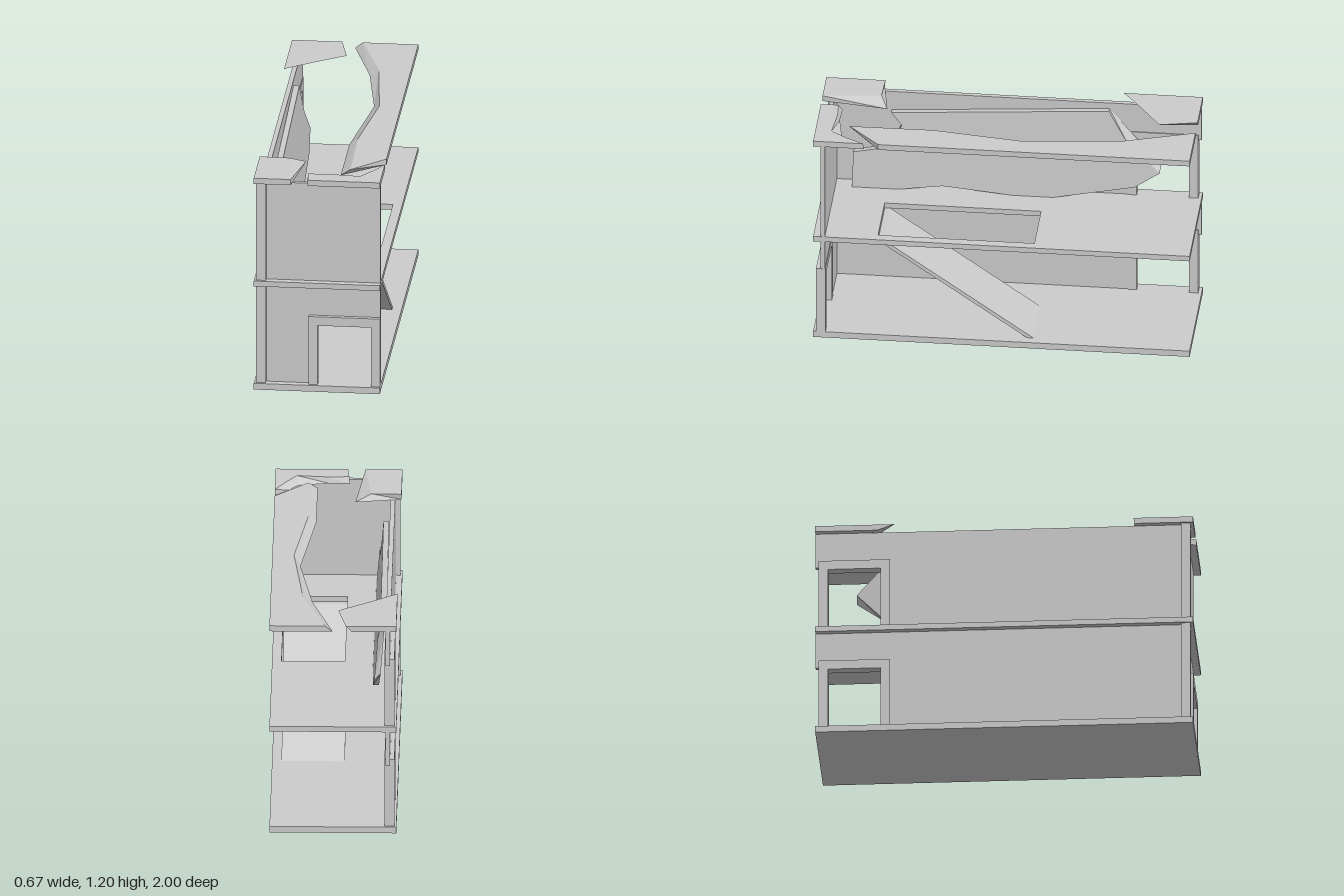
import * as THREE from 'three';

const material = new THREE.MeshStandardMaterial({ color: 0xcccccc, flatShading: true });

// Joins two outlines with equal point counts; each map turns a 2D point into 3D.
function loft(a, b, mapA, mapB) {
  const v2 = (p) => new THREE.Vector2(p[0], p[1]);
  let A = a.map(v2), B = b.map(v2);
  if (THREE.ShapeUtils.area(A) < 0) { A = A.reverse(); B = B.reverse(); }
  const a3 = A.map((p) => mapA(p.x, p.y)), b3 = B.map((p) => mapB(p.x, p.y));
  let tris = [];
  for (const [i, j, k] of THREE.ShapeUtils.triangulateShape(A, [])) tris.push([a3[i], a3[j], a3[k]]);
  for (const [i, j, k] of THREE.ShapeUtils.triangulateShape(B, [])) tris.push([b3[i], b3[k], b3[j]]);
  a3.forEach((p, i) => {
    const j = (i + 1) % a3.length;
    tris.push([b3[i], b3[j], a3[j]], [b3[i], a3[j], p]);
  });
  // Turn the solid outward if the mapping mirrored it
  const volume = tris.reduce((s, [p, q, r]) => s + p.dot(q.clone().cross(r)), 0);
  if (volume < 0) tris = tris.map(([p, q, r]) => [p, r, q]);
  const geometry = new THREE.BufferGeometry().setFromPoints(tris.flat());
  geometry.computeVertexNormals();
  return geometry;
}

const atX = (x) => (z, y) => new THREE.Vector3(x, y, z);
const atY = (y) => (x, z) => new THREE.Vector3(x, y, z);
const atZ = (z) => (x, y) => new THREE.Vector3(x, y, z);

function add(parent, name, geometry) {
  const mesh = new THREE.Mesh(geometry, material);
  mesh.name = name;
  parent.add(mesh);
  return mesh;
}

function box(parent, name, [x0, x1], [y0, y1], [z0, z1]) {
  const geometry = new THREE.BoxGeometry(x1 - x0, y1 - y0, z1 - z0);
  geometry.translate((x0 + x1) / 2, (y0 + y1) / 2, (z0 + z1) / 2);
  return add(parent, name, geometry);
}

// Upside-down U outline of a door frame
const doorOutline = (o0, o1, i0, i1, y) => [
  [o0, y], [i0, y], [i0, y + 0.335], [i1, y + 0.335], [i1, y],
  [o1, y], [o1, y + 0.385], [o0, y + 0.385],
];

// Wall outline with the lower end cut away for a doorway
const wallOutline = (start, cut, end, y, top) => [
  [start, y], [cut, y], [cut, y + 0.355], [end, y + 0.355], [end, top], [start, top],
];

export function createModel() {
  const model = new THREE.Group();
  model.name = 'ruinedHouse';
  const W = 0.335;

  // Floors, the upper one with an opening for the ramp
  box(model, 'groundFloor', [-W, W], [0, 0.035], [-1, 1]);
  const floor = new THREE.Shape([[-W, -1], [W, -1], [W, 1], [-W, 1]].map((p) => new THREE.Vector2(...p)));
  floor.holes.push(new THREE.Path([[-0.05, -0.17], [-0.05, 0.66], [0.285, 0.66], [0.285, -0.17]].map((p) => new THREE.Vector2(...p))));
  const floorGeometry = new THREE.ExtrudeGeometry(floor, { depth: 0.03, bevelEnabled: false });
  floorGeometry.rotateX(Math.PI / 2).translate(0, 0.616, 0);
  add(model, 'upperFloor', floorGeometry);

  // Each storey: side wall with doorway, frame, corner post
  for (const [storey, y, top] of [['lower', 0.035, 0.586], ['upper', 0.616, 1.168]]) {
    const side = wallOutline(0.95, -0.62, -1, y, top);
    add(model, storey + 'SideWall', loft(side, side, atX(-0.277), atX(-0.302)));
    const frame = doorOutline(-0.605, -0.982, -0.655, -0.932, y);
    add(model, storey + 'SideDoorFrame', loft(frame, frame, atX(-0.272), atX(-0.325)));
    box(model, storey + 'CornerPost', [-0.325, -0.272], [y, top], [0.935, 0.985]);
  }

  // Front walls: doorway below, closed above
  const front = wallOutline(-0.28, -0.02, W - 0.001, 0.035, 0.586);
  add(model, 'lowerFrontWall', loft(front, front, atZ(0.962), atZ(0.938)));
  const frontFrame = doorOutline(-0.045, W, 0.003, 0.287, 0.035);
  add(model, 'frontDoorFrame', loft(frontFrame, frontFrame, atZ(0.985), atZ(0.935)));
  box(model, 'upperFrontWall', [-0.28, W - 0.001], [0.616, 1.168], [0.938, 0.962]);

  // Ramp between the floors
  const ramp = [[0.665, 0.586], [0.63, 0.586], [-0.165, 0.035], [-0.13, 0.035]];
  add(model, 'ramp', loft(ramp, ramp, atX(-0.05), atX(0.285)));

  // Broken roof pieces: top outline, then bottom outline, as [x, z]
  const roof = new THREE.Group();
  roof.name = 'brokenRoof';
  model.add(roof);
  const shard = (name, top, bottom) => add(roof, name, loft(top, bottom, atY(1.2), atY(1.168)));
  shard('longRoofPiece',
    [[W, -1], [0.04, -1], [0.165, -0.62], [0.22, -0.1], [0.155, 0.38], [0.16, 0.825], [W, 0.655]],
    [[W, -1], [0, -1], [0.115, -0.62], [0.185, -0.17], [0.11, 0.39], [0.11, 0.83], [W, 0.655]]);
  shard('backRoofPiece',
    [[-W, -1], [-0.068, -1], [-0.025, -0.8], [-0.2, -0.68], [-W, -0.58]],
    [[-W, -1], [-0.1, -1], [-0.12, -0.88], [-0.22, -0.79], [-W, -0.67]]);
  shard('cornerRoofPiece',
    [[-W, 1], [-0.14, 1], [-0.175, 0.69], [-W, 0.685]],
    [[-W, 1], [-0.14, 1], [-0.092, 0.65], [-W, 0.69]]);
  shard('frontRoofPiece',
    [[W, 1], [-0.048, 1], [-0.055, 0.905], [0.06, 0.9], [0.22, 0.915], [0.28, 0.83], [W, 0.735]],
    [[W, 1], [-0.048, 1], [-0.06, 0.885], [0.05, 0.888], [0.215, 0.86], [0.26, 0.8], [W, 0.73]]);

  // Fallen roof slab leaning on the side wall, outlines as [z, y]
  const lean = (x) => (z, y) => new THREE.Vector3(x - (y - 0.616) * 0.09, y, z);
  const face = [
    [0.85, 0.616], [0.845, 0.82], [0.64, 0.86], [0.59, 0.99], [0.645, 1.06], [-0.51, 1.135],
    [-0.615, 0.945], [-0.785, 0.79], [-0.65, 0.7], [-0.22, 0.616], [0, 0.616], [0.37, 0.648], [0.6, 0.616],
  ];
  const back = face.map((p) => [...p]);
  back[6] = [-0.63, 1.0];
  back[7] = [-0.785, 0.83];
  add(model, 'fallenRoofSlab', loft(face, back, lean(-0.2), lean(-0.23)));

  return model;
}
